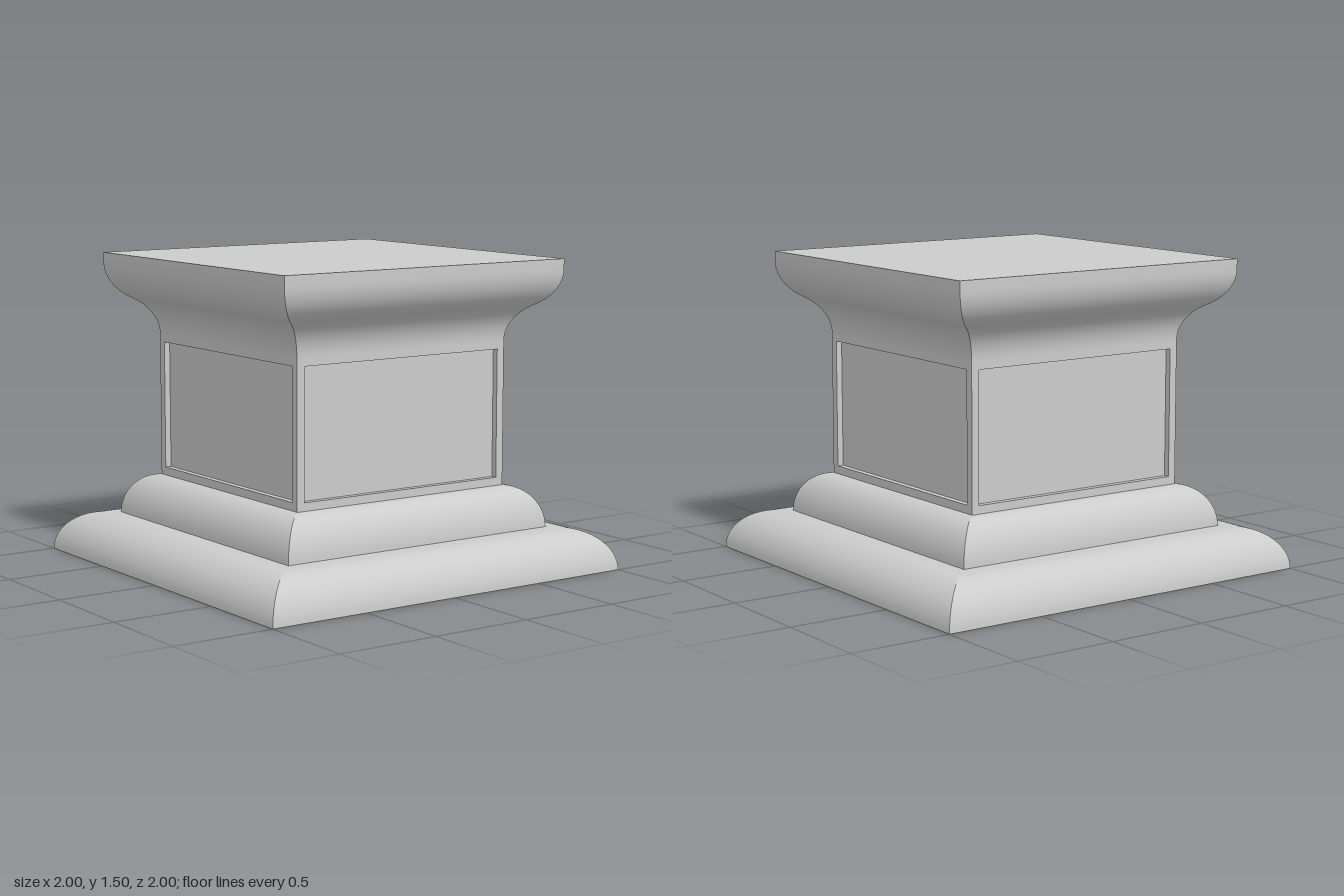
import * as THREE from 'three';
import { toCreasedNormals } from 'three/addons/utils/BufferGeometryUtils.js';

const material = new THREE.MeshStandardMaterial({ color: 0xcccccc });

const SHAFT = 0.6;      // half width of the shaft
const BOTTOM = 0.4;     // shaft bottom
const TOP = 1.104;      // shaft top
const BORDER = 0.04;    // frame width around each panel
const DEPTH = 0.03;     // panel recess

// Points along an elliptical arc, angles in degrees.
function arc(cx, cy, rx, ry, from, to, steps = 14) {
  return Array.from({ length: steps + 1 }, (_, i) => {
    const a = THREE.MathUtils.degToRad(from + ((to - from) * i) / steps);
    return [cx + rx * Math.cos(a), cy + ry * Math.sin(a)];
  });
}

// Sweep a (half width, height) profile around a square with mitred corners.
function squareMoulding(name, profile) {
  const points = profile.map(([w, y]) => new THREE.Vector2(w * Math.SQRT2, y));
  const lathe = new THREE.LatheGeometry(points, 4, Math.PI / 4);
  const mesh = new THREE.Mesh(toCreasedNormals(lathe, 0.3), material);
  mesh.name = name;
  return mesh;
}

// Raised frame for one shaft side, its back edges pulled in to mitre the corners.
function frameGeometry() {
  const rect = (path, w, y0, y1) =>
    path.moveTo(-w, y0).lineTo(w, y0).lineTo(w, y1).lineTo(-w, y1).closePath();
  const shape = rect(new THREE.Shape(), SHAFT, BOTTOM, TOP);
  shape.holes.push(rect(new THREE.Path(), SHAFT - BORDER, BOTTOM + BORDER, TOP - BORDER));
  const geometry = new THREE.ExtrudeGeometry(shape, { depth: DEPTH, bevelEnabled: false });
  const p = geometry.attributes.position;
  for (let i = 0; i < p.count; i++) {
    const x = p.getX(i);
    if (p.getZ(i) < DEPTH / 2 && Math.abs(x) > SHAFT - BORDER / 2) {
      p.setX(i, Math.sign(x) * (SHAFT - DEPTH));
    }
  }
  geometry.translate(0, 0, SHAFT - DEPTH);
  geometry.computeVertexNormals();
  return geometry;
}

export function createModel() {
  const model = new THREE.Group();
  model.name = 'pedestal';

  // Two rounded base steps
  model.add(squareMoulding('plinth', [[0, 0], ...arc(0.8, 0, 0.2, 0.2, 0, 90), [0, 0.2]]));
  model.add(squareMoulding('baseMoulding', [...arc(0.6, 0.2, 0.15, 0.2, 0, 90), [0, 0.4]]));

  // Shaft core carrying the recessed panels, with a frame on each side
  const shaft = new THREE.Group();
  shaft.name = 'shaft';
  const width = 2 * (SHAFT - DEPTH);
  const core = new THREE.Mesh(new THREE.BoxGeometry(width, TOP - BOTTOM, width), material);
  core.name = 'recessedPanels';
  core.position.y = (TOP + BOTTOM) / 2;
  shaft.add(core);
  const frame = frameGeometry();
  for (let i = 0; i < 4; i++) {
    const side = new THREE.Mesh(frame, material);
    side.name = 'panelFrame';
    side.rotation.y = (i * Math.PI) / 2;
    shaft.add(side);
  }
  model.add(shaft);

  // S-curved cornice with a flat top slab
  const rise = 0.4 * Math.sin(Math.PI / 3);
  model.add(squareMoulding('cornice', [
    ...arc(0.8, TOP, 0.2, 0.2, 180, 120),
    ...arc(0.6, TOP + rise, 0.2, 0.2, -60, 0).slice(1),
    [0.8, 1.5],
    [0, 1.5],
  ]));

  return model;
}
